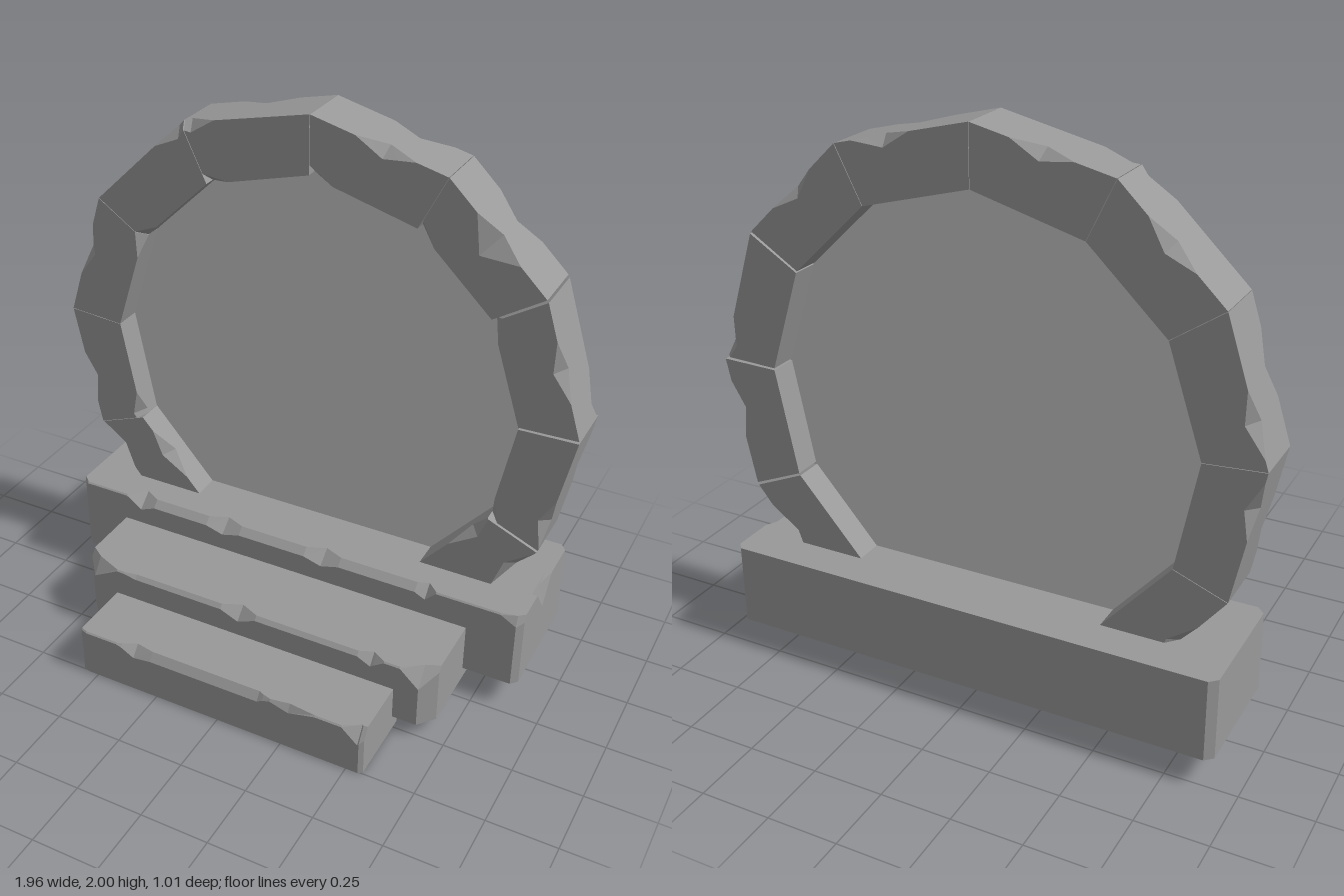
import * as THREE from 'three';

// Skin a list of equal-length point loops and cap both ends, with flat faces.
function loft(sections) {
  const tris = [];
  const tri = (a, b, c) => {
    const n = b.clone().sub(a).cross(c.clone().sub(a));
    if (n.length() > 1e-9) tris.push([a, b, c]);
  };
  const n = sections[0].length;
  for (let s = 0; s < sections.length - 1; s++) {
    const A = sections[s], B = sections[s + 1];
    for (let i = 0; i < n; i++) {
      const j = (i + 1) % n;
      tri(A[i], A[j], B[j]);
      tri(A[i], B[j], B[i]);
    }
  }
  const cap = (loop, flip) => {
    const c = new THREE.Box3().setFromPoints(loop).getCenter(new THREE.Vector3());
    loop.forEach((a, i) => {
      const b = loop[(i + 1) % n];
      flip ? tri(c, b, a) : tri(c, a, b);
    });
  };
  cap(sections[0], true);
  cap(sections[sections.length - 1], false);
  // Turn the faces outwards if the solid came out inverted
  const volume = tris.reduce((sum, [a, b, c]) => sum + a.dot(b.clone().cross(c)), 0);
  if (volume < 0) tris.forEach(t => t.reverse());
  const g = new THREE.BufferGeometry().setFromPoints(tris.flat());
  g.computeVertexNormals();
  return g;
}

// Tapering influence of a chip centred at c with half width w
const taper = (t, c, w) => Math.max(0, 1 - Math.abs(t - c) / w);
const sortedStops = (list, min, max) =>
  [...new Set([min, max, ...list.filter(t => t > min && t < max)])].sort((a, b) => a - b);

// Stone slab along x: corners cut by [left, right] widths and depths, a worn top front edge
// between two x values, and chips given as [x, half width, height, depth]
function slab({ x, y, z, cutWidth, cutDepth, backCut = 0, worn, wear, chips, sideNotch = 0 }) {
  const stops = sortedStops([
    x[0] + cutWidth[0], x[1] - cutWidth[1], ...worn, worn[0] - 0.05, worn[1] + 0.05,
    ...chips.flatMap(([c, w]) => [c - w, c, c + w]),
  ], x[0], x[1]);
  const notchZ = z[0] * 0.475 + z[1] * 0.525;
  return loft(stops.map(s => {
    const left = Math.max(0, 1 - (s - x[0]) / cutWidth[0]);
    const right = Math.max(0, 1 - (x[1] - s) / cutWidth[1]);
    const front = z[1] - left * cutDepth[0] - right * cutDepth[1];
    const back = z[0] + (left + right) * backCut;
    const outside = Math.max(worn[0] - s, s - worn[1], 0);
    const edge = Math.max(0, 1 - outside / 0.05);
    const bite = k => Math.max(0.005, wear[k] * edge, ...chips.map(c => c[2 + k] * taper(s, c[0], c[1])));
    return [
      [y[0], back], [y[0], front], [y[1] - bite(0), front], [y[1], front - bite(1)],
      [y[1], notchZ + 0.075], [y[1] - sideNotch * right, notchZ], [y[1], notchZ - 0.075], [y[1], back],
    ].map(([py, pz]) => new THREE.Vector3(s, py, pz));
  }));
}

// Ring stone between two joints. Chip: [edge, position, half width, radial depth, z depth]
// with edges 0 outer front, 1 outer back, 2 inner front
function ringStone(j0, j1, z0, z1, t0, t1, chips) {
  const stops = sortedStops(chips.flatMap(([, t, w]) => [t - w, t, t + w]), t0, t1);
  return loft(stops.map(t => {
    const inner = j0.inner.clone().lerp(j1.inner, t);
    const outer = j0.outer.clone().lerp(j1.outer, t);
    const width = inner.distanceTo(outer);
    const [of, ob, nf] = chips.map(([, c, w, r, z]) => [r * taper(t, c, w), z * taper(t, c, w)]);
    return [
      [0, z0], [0, z1 - nf[1]], [nf[0], z1], [width - of[0], z1],
      [width, z1 - of[1]], [width, z0 + ob[1]], [width - ob[0], z0],
    ].map(([r, z]) => {
      const p = inner.clone().lerp(outer, r / width);
      return new THREE.Vector3(p.x, p.y, z);
    });
  }));
}

export function createModel() {
  const model = new THREE.Group();
  const stone = new THREE.MeshStandardMaterial({ color: 0x999999 });
  stone.name = 'stone';
  const pale = new THREE.MeshStandardMaterial({ color: 0xc9c9c9, side: THREE.DoubleSide });
  pale.name = 'paleStone';
  const add = (name, geometry, material, parent = model) => {
    const mesh = new THREE.Mesh(geometry, material);
    mesh.name = name;
    parent.add(mesh);
  };

  // Plinth and two steps
  add('plinth', slab({
    x: [-0.91, 0.9], y: [0.105, 0.4], z: [-0.51, -0.035],
    cutWidth: [0.028, 0.022], cutDepth: [0.028, 0.025], backCut: 0.026,
    worn: [-0.66, 0.54], wear: [0.025, 0.027], sideNotch: 0.1,
    chips: [[-0.64, 0.06, 0.05, 0.06], [-0.28, 0.07, 0.045, 0.055], [0.13, 0.07, 0.045, 0.055],
      [0.54, 0.04, 0.045, 0.042], [0.88, 0.06, 0.04, 0.018]],
  }), stone);
  add('middleStep', slab({
    x: [-0.71, 0.7], y: [0.06, 0.29], z: [-0.105, 0.262],
    cutWidth: [0.05, 0.05], cutDepth: [0.058, 0.06],
    worn: [-0.48, 0.48], wear: [0.015, 0.014],
    chips: [[-0.66, 0.1, 0.06, 0.045], [-0.05, 0.07, 0.045, 0.045], [0.47, 0.05, 0.04, 0.035],
      [0.65, 0.07, 0.07, 0.055]],
  }), stone);
  add('lowerStep', slab({
    x: [-0.565, 0.56], y: [0, 0.185], z: [0.215, 0.505],
    cutWidth: [0.025, 0.015], cutDepth: [0.01, 0.012],
    worn: [-0.34, 0.16], wear: [0.03, 0.022],
    chips: [[-0.34, 0.07, 0.04, 0.035], [0.28, 0.1, 0.03, 0.016], [0.54, 0.06, 0.06, 0.04]],
  }), stone);

  // Ring joints as [inner x, inner y, outer x, outer y], mirrored about the top one
  const half = [
    [0.37, 0.297, 0.56, 0.185], [0.7, 0.675, 0.885, 0.595], [0.775, 1.06, 0.982, 1.065],
    [0.655, 1.43, 0.83, 1.54], [0.385, 1.69, 0.48, 1.88],
  ];
  const joint = ([ix, iy, ox, oy], side) => ({
    inner: new THREE.Vector2(ix * side, iy),
    outer: new THREE.Vector2(ox * side, oy + (side < 0 ? 0.01 : 0)),
  });
  const joints = [
    ...half.map(j => joint(j, 1)),
    joint([0, 1.795, 0, 2], 1),
    ...half.map(j => joint(j, -1)).reverse(),
  ];

  // Chip positions along each stone: outer front, outer back, inner front
  const chipSpots = [
    [0.75, 0.6, 0.8], [0.25, 0.6, 0], [0.5, 0.12, 1], [0.5, 0.5, 1], [0.45, 0.35, 1],
    [0.95, 0.5, 1], [0.08, 0.5, 1], [0.45, 0.7, 0], [0.6, 0.3, 0.95], [0.2, 0.5, 0.35],
  ];
  const ring = new THREE.Group();
  ring.name = 'stoneRing';
  model.add(ring);
  const gap = i => (i >= 1 && i <= 3 ? 0.01 : 0.002);
  chipSpots.forEach((spots, i) => {
    // One stone near the upper left has a broad, deep chip
    const chips = spots.map((t, edge) => [edge, t, 0.22, edge === 0 && i === 3 ? 0.09 : 0.037, 0.042]);
    const geometry = ringStone(joints[i], joints[i + 1], -0.375, -0.172, gap(i), 1 - gap(i + 1), chips);
    add('ringStone' + (i + 1), geometry, stone, ring);
  });

  // Thin pane filling the ring
  const outline = new THREE.Shape(joints.map(j => j.inner.clone().lerp(j.outer, 0.06)));
  const paneGeometry = new THREE.ShapeGeometry(outline);
  paneGeometry.translate(0, 0, -0.273);
  add('pane', paneGeometry, pale);

  return model;
}
